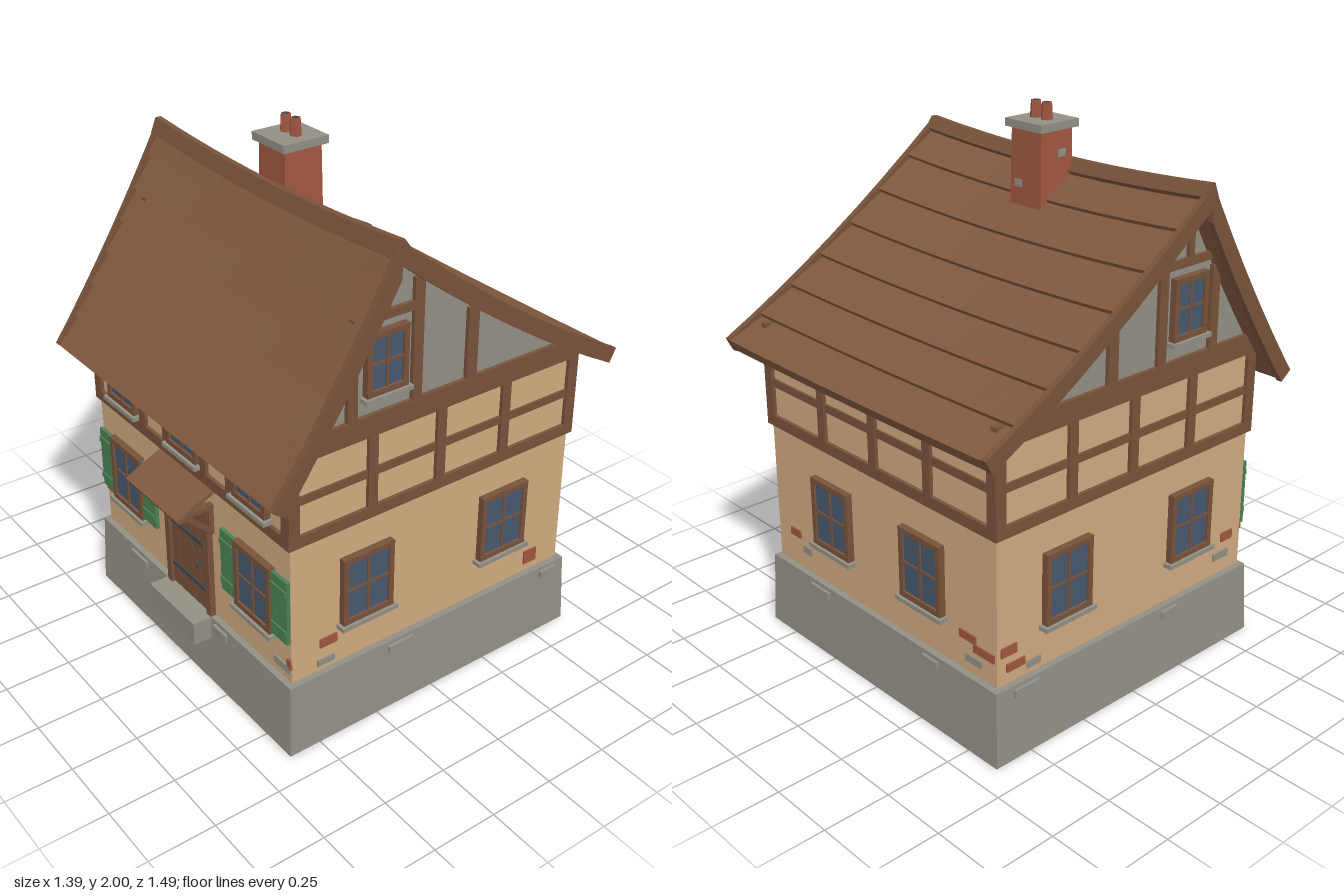
import * as THREE from 'three';

const mat = (name, color, side = THREE.FrontSide) => {
  const m = new THREE.MeshStandardMaterial({ color, side });
  m.name = name;
  return m;
};
const stone = mat('stone', 0x928f84, THREE.DoubleSide);
const plaster = mat('plaster', 0xd0a97f);
const timber = mat('timber', 0x78523a);
const tile = mat('roofTile', 0x80583e);
const glass = mat('glass', 0x46586e);
const green = mat('shutterGreen', 0x4a8253);
const brick = mat('brick', 0xa0573f);
const iron = mat('iron', 0x41464f);

const HALF = 0.61, CZ = -0.016; // wall half width, centre of the house in z

function add(parent, name, geo, material) {
  const m = new THREE.Mesh(geo, material);
  m.name = name;
  parent.add(m);
  return m;
}
function box(parent, name, material, x, y, z, w, h, d) {
  const m = add(parent, name, new THREE.BoxGeometry(w, h, d), material);
  m.position.set(x, y, z);
  return m;
}
// Box given by its limits, for timbers
function span(parent, name, material, x0, x1, y0, y1, z0, z1) {
  return box(parent, name, material, (x0 + x1) / 2, (y0 + y1) / 2, (z0 + z1) / 2,
    Math.abs(x1 - x0), Math.abs(y1 - y0), Math.abs(z1 - z0));
}
function group(parent, name) {
  const g = new THREE.Group();
  g.name = name;
  parent.add(g);
  return g;
}

// Cross-paned window with frame and sill, facing local +z
function addWindow(parent, x, y, z, w, h, shutters = false) {
  const g = group(parent, 'window');
  g.position.set(x, y, z);
  const f = 0.02;
  box(g, 'pane', glass, 0, 0, 0.012, w - f, h - f, 0.008);
  for (const s of [-1, 1]) {
    box(g, 'frameSide', timber, s * (w - f) / 2, 0, 0.008, f, h, 0.034);
    box(g, 'frameRail', timber, 0, s * (h - f) / 2, 0.009, w, f, 0.034);
  }
  box(g, 'mullion', timber, 0, 0, 0.015, 0.009, h - f, 0.012);
  box(g, 'glazingBar', timber, 0, 0, 0.015, w - f, 0.009, 0.012);
  box(g, 'sill', stone, 0, -h / 2 - 0.008, 0.014, w + 0.025, 0.016, 0.046);
  if (!shutters) return;
  for (const s of [-1, 1]) {
    const sh = group(g, 'shutter');
    sh.position.set(s * (w / 2 + 0.045), 0, 0.01);
    for (let i = -1; i <= 1; i++) box(sh, 'shutterBoard', green, i * 0.03, 0, 0, 0.029, 0.25, 0.014);
    for (const k of [-1, 1]) box(sh, 'shutterBatten', green, 0, k * 0.08, 0.008, 0.085, 0.022, 0.01);
  }
}

// Roof slopes as curves in (z, y), from ridge to eave
const v = (x, y) => new THREE.Vector2(x, y);
const frontSlope = new THREE.QuadraticBezierCurve(v(0.235, 1.82), v(0.455, 1.42), v(0.715, 1.06));
const backSlope = new THREE.QuadraticBezierCurve(v(0.235, 1.82), v(-0.28, 1.41), v(-0.745, 1.168));
function offset(curve, t, d) {
  const p = curve.getPoint(t), q = curve.getTangent(t), s = Math.sign(q.x);
  return v(p.x - s * q.y * d, p.y + s * q.x * d);
}
// Inner edge of a slope, cut plumb at the ridge
function underside(curve, th) {
  const pts = [];
  for (let i = 8; i > 0; i--) pts.push(offset(curve, i / 8, -th));
  const q = curve.getTangent(0);
  pts.push(v(0.235, 1.82 - th / Math.abs(q.x)));
  return pts;
}
function roofY(z) {
  const c = z > 0.235 ? frontSlope : backSlope;
  let a = 0, b = 1;
  for (let i = 0; i < 20; i++) {
    const t = (a + b) / 2;
    if (Math.abs(c.getPoint(t).x - 0.235) < Math.abs(z - 0.235)) a = t; else b = t;
  }
  return c.getPoint(a).y;
}
// Sweep a (z, y) outline along x, sagging toward the middle of the ridge
function sweep(points, x0, x1, steps = 1) {
  const g = new THREE.ExtrudeGeometry(new THREE.Shape(points), { depth: x1 - x0, steps, bevelEnabled: false });
  g.rotateY(-Math.PI / 2).translate(x1, 0, 0);
  const p = g.attributes.position;
  for (let i = 0; i < p.count; i++) {
    const x = p.getX(i), y = p.getY(i);
    const f = THREE.MathUtils.clamp((y - 1) / 0.8, 0, 1);
    p.setY(i, y - 0.03 * Math.max(0, 1 - (x / 0.69) ** 2) * f);
  }
  g.computeVertexNormals();
  return g;
}

function buildRoof(root) {
  const roof = group(root, 'roof');
  const ROWS = 7;
  for (const curve of [frontSlope, backSlope]) {
    // Overlapping courses make a saw-tooth upper edge
    const pts = [v(0.235, 1.79)];
    for (let i = 0; i < ROWS; i++) {
      if (i) pts.push(offset(curve, i / ROWS, -0.022));
      pts.push(offset(curve, (i + 1) / ROWS, -0.004));
    }
    add(roof, 'roofCourses', sweep([...pts, ...underside(curve, 0.05)], -0.677, 0.677, 12), tile);
    // Verge boards along both gable ends
    const edge = [];
    for (let i = 0; i <= 8; i++) edge.push(curve.getPoint(i / 8));
    const board = [...edge, ...underside(curve, 0.058)];
    for (const x of [-0.697, 0.675]) add(roof, 'vergeBoard', sweep(board, x, x + 0.022), timber);
  }
  const cap = [v(0.268, 1.775), v(0.246, 1.828), v(0.224, 1.828), v(0.195, 1.79), v(0.23, 1.75)];
  add(roof, 'ridgeCap', sweep(cap, -0.69, 0.69, 12), timber);
}

function buildChimney(root) {
  const g = group(root, 'chimney');
  g.position.set(0, 0, 0.143);
  const stack = new THREE.CylinderGeometry(0.073 * Math.SQRT2, 0.078 * Math.SQRT2, 0.36, 4, 1).toNonIndexed();
  stack.rotateY(Math.PI / 4).computeVertexNormals();
  add(g, 'chimneyStack', stack, brick).position.y = 1.735;
  box(g, 'chimneyCap', stone, 0, 1.927, 0, 0.18, 0.028, 0.18);
  box(g, 'chimneyStone', stone, 0.035, 1.72, -0.076, 0.035, 0.025, 0.008);
  box(g, 'chimneyStone', stone, -0.076, 1.83, 0.02, 0.008, 0.025, 0.035);
  for (const s of [-1, 1]) {
    const pot = new THREE.CylinderGeometry(0.018, 0.022, 0.064, 6).toNonIndexed();
    pot.computeVertexNormals();
    add(g, 'chimneyPot', pot, brick).position.set(s * 0.027, 1.968, -0.003);
    const hole = new THREE.CylinderGeometry(0.012, 0.012, 0.002, 6);
    add(g, 'potOpening', hole, iron).position.set(s * 0.027, 2.0, -0.003);
  }
}

function buildGable(body, s) {
  const beam = (n, z0, z1, y0, y1) => span(body, n, timber, s * 0.6, s * 0.625, y0, y1, z0 - CZ, z1 - CZ);
  beam('gableBeam', 0.585, -0.638, 1.14, 1.22);
  for (const [z0, z1, y0] of [[0.38, 0.34, 1.22], [0.12, 0.08, 1.22], [-0.11, -0.155, 1.22], [0.24, 0.215, 1.57]])
    beam('gablePost', z0, z1, y0, Math.min(roofY(z0), roofY(z1)) - 0.05);
  beam('gableCollar', 0.36, 0.1, 1.54, 1.57);
}

function buildDoor(face) {
  const g = group(face, 'door');
  for (let i = -2; i <= 2; i++) box(g, 'doorPlank', timber, i * 0.047, 0.49, HALF, 0.045, 0.42, 0.02);
  box(g, 'doorBacking', timber, 0, 0.49, HALF, 0.24, 0.42, 0.012);
  for (const s of [-1, 1]) box(g, 'doorJamb', timber, s * 0.131, 0.5, HALF, 0.028, 0.44, 0.045);
  box(g, 'doorLintel', timber, 0, 0.725, HALF, 0.29, 0.03, 0.045);
  for (const y of [0.37, 0.56]) box(g, 'doorStrap', iron, -0.005, y, HALF + 0.012, 0.21, 0.018, 0.008);
  box(g, 'doorHandle', iron, 0.07, 0.46, HALF + 0.015, 0.014, 0.014, 0.02);
  box(g, 'doorStep', stone, -0.004, 0.235, 0.655, 0.3, 0.09, 0.1);
  // Small porch roof on diagonal brackets
  const a = Math.atan2(0.07, 0.15);
  [[0.786, 0.665, 0.115], [0.758, 0.722, 0.085]].forEach(([y, z, d]) => {
    box(g, 'canopyCourse', tile, 0, y + 0.008, z, 0.34, 0.016, d).rotation.x = a;
  });
  box(g, 'canopyBeam', timber, 0, 0.737, 0.735, 0.31, 0.02, 0.02);
  for (const s of [-1, 1]) {
    box(g, 'canopyArm', timber, s * 0.147, 0.747, 0.672, 0.022, 0.018, 0.13);
    box(g, 'canopyBrace', timber, s * 0.147, 0.696, 0.668, 0.022, 0.018, 0.15).rotation.x = -0.75;
    box(g, 'canopyPost', timber, s * 0.147, 0.70, HALF + 0.008, 0.024, 0.12, 0.022);
  }
}

export function createModel() {
  const root = new THREE.Group();
  root.name = 'cottage';
  const body = group(root, 'body');
  body.position.z = CZ;

  // Tapered stone base, hollow below
  const base = new THREE.BoxGeometry(1.26, 0.28, 1.26).translate(0, 0.14, 0);
  const p = base.attributes.position;
  for (let i = 0; i < p.count; i++) if (p.getY(i) < 0.01) p.setXYZ(i, p.getX(i) * 1.018, 0, p.getZ(i) * 1.018);
  base.setIndex([...base.index.array].filter((_, i) => i < 18 || i >= 24));
  base.clearGroups();
  base.computeVertexNormals();
  add(body, 'stoneBase', base, stone);

  // Walls and gable infill
  span(body, 'walls', plaster, -HALF, HALF, 0.285, 1.14, -HALF, HALF);
  const infill = [v(0.575, 1.13)];
  for (const z of [0.575, 0.45, 0.34, 0.235, 0.08, -0.1, -0.35, -0.62]) infill.push(v(z, roofY(z) - 0.055));
  infill.push(v(-0.62, 1.13));
  add(root, 'gableInfill', sweep(infill, -HALF, HALF, 8), stone);

  // Four faces: front, left, back, right
  const faces = ['front', 'left', 'back', 'right'].map((n, i) => {
    const f = group(body, n + 'Face');
    f.rotation.y = i * Math.PI / 2;
    return f;
  });
  const postSets = [[-0.28, -0.12, 0.12, 0.28], [-0.287, 0, 0.287]];
  faces.forEach((f, i) => {
    const t = (n, x0, x1, y0, y1, out = 0.014) => span(f, n, timber, x0, x1, y0, y1, HALF - 0.02, HALF + out);
    t('sillBeam', -0.623, 0.623, 0.83, 0.872);
    t('middleRail', -0.58, 0.58, 0.985, 1.015, 0.008);
    if (i % 2 === 0) t('wallPlate', -0.623, 0.623, 1.12, 1.16);
    for (const s of [-1, 1]) t('cornerPost', s * 0.58, s * 0.623, 0.86, 1.15);
    for (const x of postSets[i ? 1 : 0]) t('post', x - 0.019, x + 0.019, 0.86, 1.15);
  });
  const [front, left, back, right] = faces;

  // Windows
  for (const x of [-0.415, 0.415]) addWindow(front, x, 0.577, HALF, 0.212, 0.265, true);
  for (const x of [-0.41, 0, 0.41]) addWindow(front, x, 1.01, HALF, 0.19, 0.235);
  for (const x of [-0.25, 0.25]) addWindow(back, x, 0.577, HALF, 0.212, 0.265);
  [left, right].forEach((f, i) => {
    const m = i ? 1 : -1;
    for (const z of [0.305, -0.305]) addWindow(f, m * z, 0.577, HALF, 0.212, 0.265);
    addWindow(f, m * (0.228 - CZ), 1.4, HALF, 0.165, 0.22);
    buildGable(body, -m);
  });
  buildDoor(front);

  // Exposed bricks and stones: [x, y, width, height, material]
  const patches = [
    [[-0.575, 0.44, 0.07, 0.025, brick], [0.56, 0.335, 0.09, 0.028, stone], [0.6, 0.36, 0.02, 0.04, brick]],
    [[-0.46, 0.397, 0.07, 0.035, brick], [-0.47, 0.318, 0.07, 0.025, stone], [0.47, 0.345, 0.06, 0.055, brick]],
    [[-0.5, 0.42, 0.06, 0.03, brick], [-0.43, 0.37, 0.05, 0.03, stone], [0.47, 0.42, 0.08, 0.03, brick],
      [0.55, 0.39, 0.1, 0.03, brick], [0.5, 0.34, 0.08, 0.028, stone]],
    [[-0.56, 0.41, 0.07, 0.035, brick], [-0.53, 0.345, 0.08, 0.03, brick], [-0.45, 0.32, 0.06, 0.028, stone],
      [0.53, 0.43, 0.06, 0.035, brick], [0.5, 0.36, 0.08, 0.03, stone]],
  ];
  const baseStones = [[-0.35, 0.21], [-0.16, 0.55], [-0.33, 0.3], [-0.5, 0.2]];
  faces.forEach((f, i) => {
    for (const [x, y, w, h, m] of patches[i]) box(f, 'wallPatch', m, x, y, HALF + 0.002, w, h, 0.009);
    baseStones[i].forEach((x, k) => box(f, 'baseStone', stone, x, 0.25, 0.633, k ? 0.08 : 0.11, 0.03, 0.018));
  });

  buildRoof(root);
  buildChimney(root);
  return root;
}
